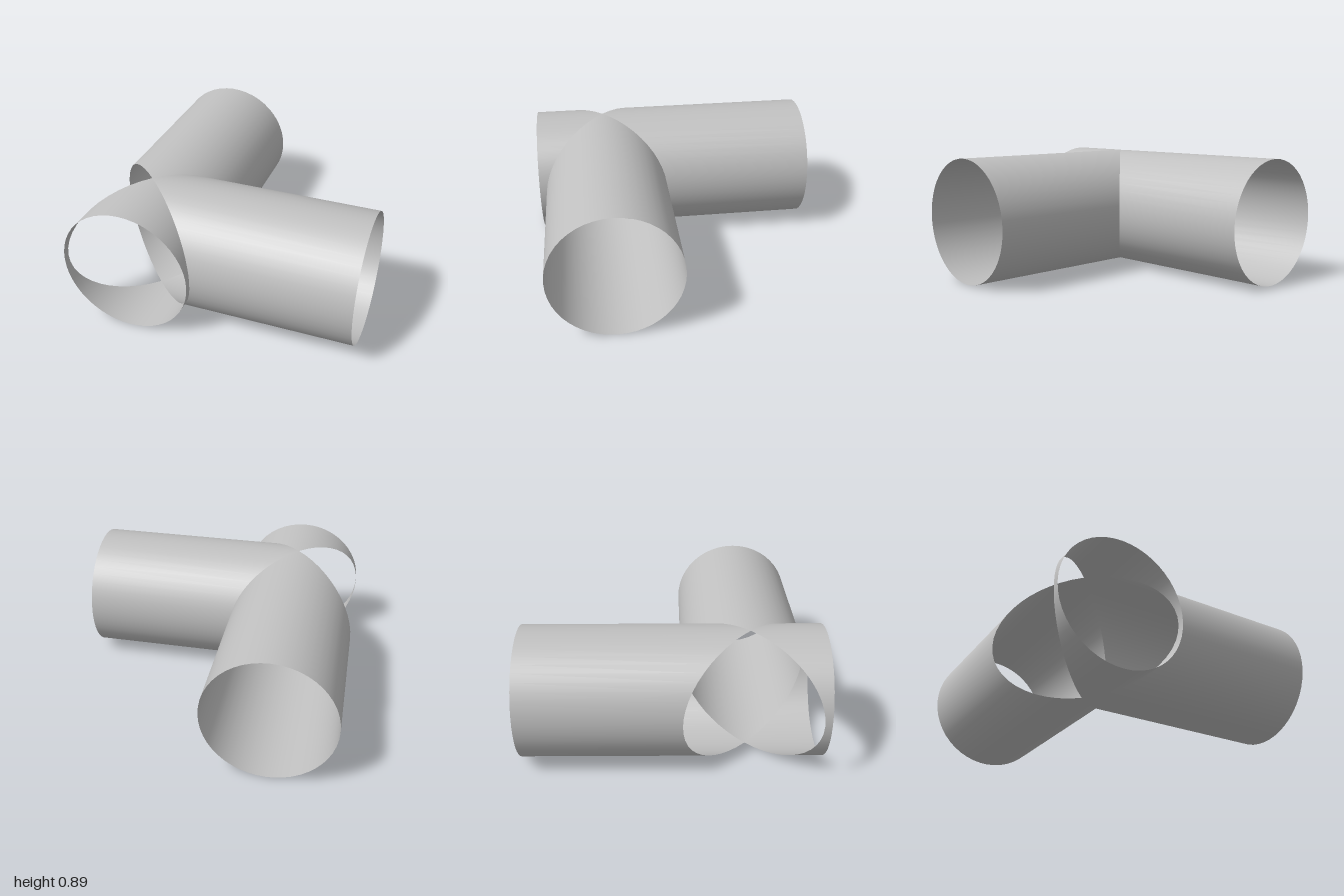
import * as THREE from 'three';

const RADIUS = 0.443;
const SEGMENTS = 48;

// Open pipe along +z whose near end is mitred to a point above and below the junction
function mitredPipe(name, length, angle, material) {
  const geometry = new THREE.CylinderGeometry(RADIUS, RADIUS, 1, SEGMENTS, 1, true);
  geometry.rotateX(Math.PI / 2);
  const p = geometry.attributes.position;
  for (let i = 0; i < p.count; i++) {
    p.setZ(i, p.getZ(i) > 0 ? length : Math.abs(p.getX(i)));
  }
  const mesh = new THREE.Mesh(geometry, material);
  mesh.name = name;
  mesh.rotation.y = angle;
  return mesh;
}

export function createModel() {
  const grey = new THREE.MeshStandardMaterial({ color: 0xc0c0c0, side: THREE.DoubleSide });
  grey.name = 'light grey';

  // Three branches meeting at the junction; the fourth side stays open
  const junction = new THREE.Group();
  junction.name = 'pipeJunction';
  junction.position.set(-0.535, RADIUS, 0.51);
  junction.add(
    mitredPipe('frontCollar', 0.49, 0, grey),
    mitredPipe('leftPipe', 1.51, Math.PI / 2, grey),
    mitredPipe('backPipe', 1.51, Math.PI, grey)
  );

  const model = new THREE.Group();
  model.name = 'pipeTee';
  model.add(junction);
  return model;
}
